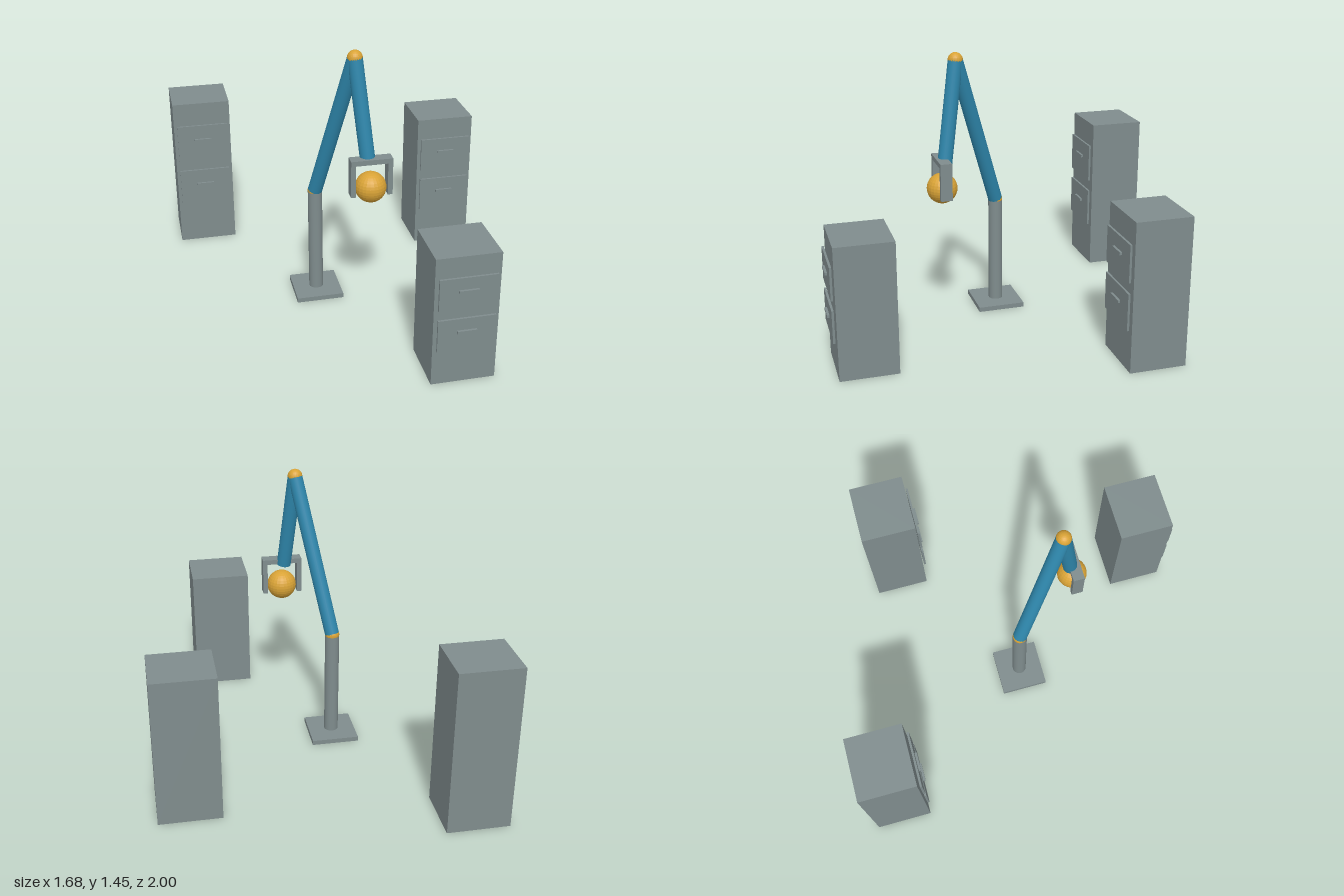
import * as THREE from 'three';

const mat = (name, color, flatShading = false) => {
  const m = new THREE.MeshStandardMaterial({ color, flatShading });
  m.name = name;
  return m;
};

export function createModel() {
  const grey = mat('steel grey', 0x7f8c8d);
  const blue = mat('arm blue', 0x2e86ab);
  const amber = mat('amber', 0xd9a336, true);
  const model = new THREE.Group();
  model.name = 'robotArmWorkcell';

  const add = (parent, name, geometry, material, x, y, z) => {
    const mesh = new THREE.Mesh(geometry, material);
    mesh.name = name;
    mesh.position.set(x, y, z);
    parent.add(mesh);
    return mesh;
  };
  const box = (parent, name, w, h, d, x, y, z) =>
    add(parent, name, new THREE.BoxGeometry(w, h, d), grey, x, y, z);

  // Round bar between two points
  const bar = (parent, name, a, b, r, material) => {
    const dir = b.clone().sub(a);
    const mid = a.clone().add(b).multiplyScalar(0.5);
    const mesh = add(parent, name, new THREE.CylinderGeometry(r, r, dir.length(), 24),
      material, mid.x, mid.y, mid.z);
    mesh.quaternion.setFromUnitVectors(new THREE.Vector3(0, 1, 0), dir.normalize());
  };

  // Two-drawer cabinets; the details scale with the height
  const cabinet = (x, front, h) => {
    const g = new THREE.Group();
    g.name = 'cabinet';
    g.position.set(x, 0, front);
    box(g, 'cabinetBody', 0.32, h, 0.294, 0, h / 2, -0.147);
    for (const level of [0.407, 0.727]) {
      box(g, 'drawerFront', 0.284, h * 0.247, 0.011, 0, h * level, 0.0125);
      box(g, 'drawerHandle', 0.096, 0.014, 0.012, 0, h * (level + 0.023), 0.024);
    }
    model.add(g);
  };
  cabinet(-0.68, -0.706, 0.87);
  cabinet(0.68, -0.392, 0.78);
  cabinet(0.363, 0.97, 0.687);

  // Arm: base, pole, two links and their joints
  const arm = new THREE.Group();
  arm.name = 'robotArm';
  model.add(arm);
  const foot = new THREE.Vector3(-0.16, 0.02, 0);
  const shoulder = new THREE.Vector3(-0.16, 0.605, 0);
  const elbow = new THREE.Vector3(-0.005, 1.415, 0.25);
  const wrist = new THREE.Vector3(0.046, 0.895, 0.325);
  box(arm, 'basePlate', 0.252, 0.025, 0.252, -0.16, 0.0125, 0);
  bar(arm, 'pole', foot, shoulder, 0.038, grey);
  bar(arm, 'upperArm', shoulder, elbow, 0.038, blue);
  bar(arm, 'forearm', elbow, wrist, 0.038, blue);
  for (const [name, p] of [['shoulderJoint', shoulder], ['elbowJoint', elbow]])
    add(arm, name, new THREE.SphereGeometry(0.0385, 24, 16), amber, p.x, p.y, p.z);

  // Gripper holding the ball
  const gripper = new THREE.Group();
  gripper.name = 'gripper';
  gripper.position.set(0.056, 0, 0.344);
  model.add(gripper);
  box(gripper, 'gripperBar', 0.212, 0.026, 0.06, 0, 0.912, 0);
  for (const s of [-1, 1])
    box(gripper, 'gripperFinger', 0.025, 0.195, 0.06, s * 0.0935, 0.8275, 0);
  add(gripper, 'ball', new THREE.SphereGeometry(0.079, 24, 16), amber, 0, 0.768, 0);

  return model;
}
